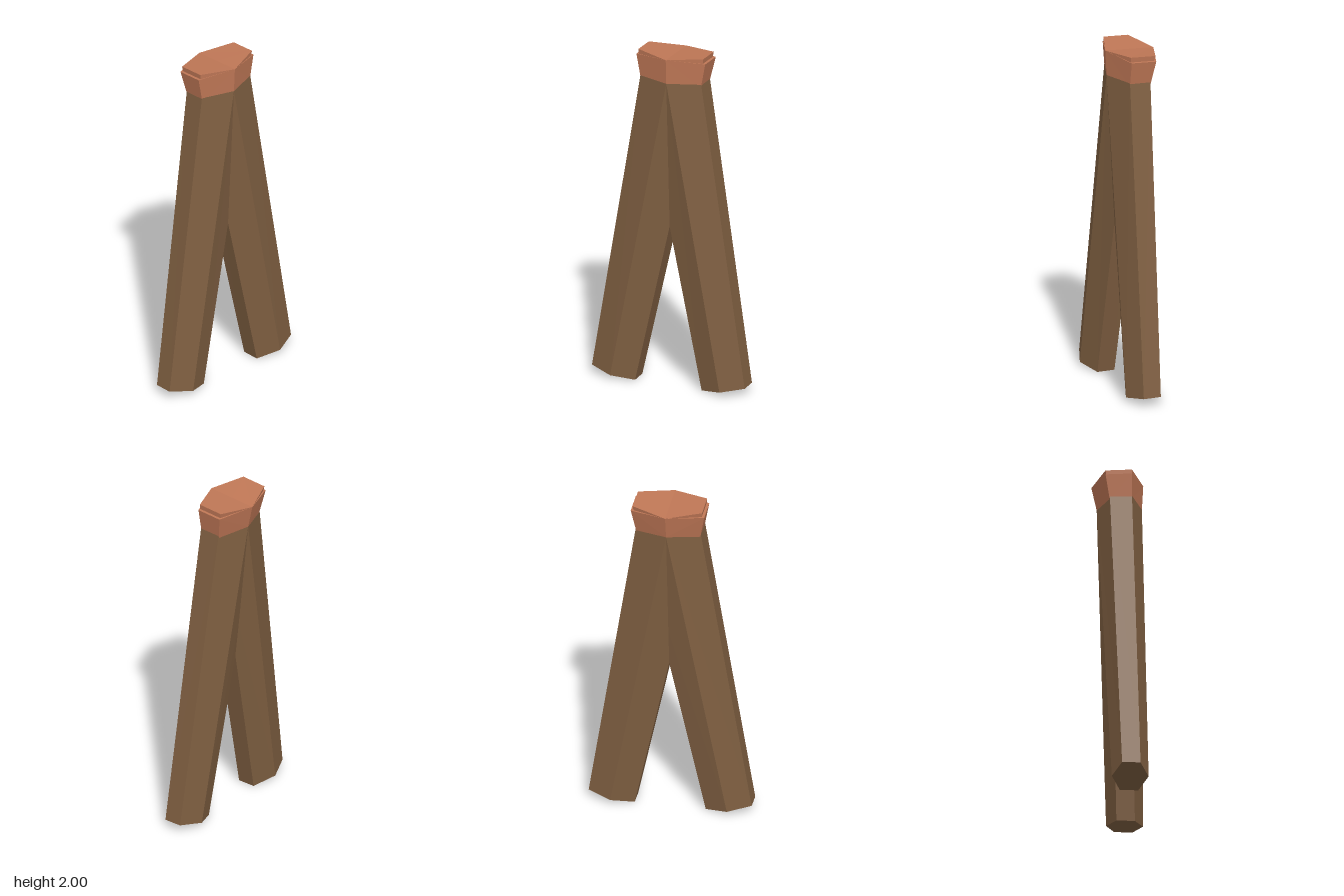
import * as THREE from 'three';

// Closed, flat-shaded loft between two six-sided rings; side = -1 mirrors it in x
function loft(lower, upper, side) {
  const pos = [];
  const tri = (a, b, c) => {
    const order = side > 0 ? [a, b, c] : [a, c, b];
    for (const [x, y, z] of order) pos.push(x * side, y, z);
  };
  const n = lower.length;
  for (let i = 0; i < n; i++) {
    const j = (i + 1) % n;
    tri(lower[j], lower[i], upper[i]);
    tri(lower[j], upper[i], upper[j]);
  }
  for (let i = 1; i < n - 1; i++) {
    tri(upper[0], upper[i + 1], upper[i]);
    tri(lower[0], lower[i], lower[i + 1]);
  }
  const geometry = new THREE.BufferGeometry();
  geometry.setAttribute('position', new THREE.Float32BufferAttribute(pos, 3));
  geometry.computeVertexNormals();
  return geometry;
}

// Ring order: outer front, ridge front, inner front, inner back, ridge back, outer back.
// outer, mid and inner are [x, y]; tilt raises the front over the back.
function ring(outer, mid, inner, flatFront, flatBack, ridgeFront, ridgeBack, tilt) {
  const point = ([x, y], z) => [x, y + tilt * z, z];
  return [
    point(outer, flatFront), point(mid, ridgeFront), point(inner, flatFront),
    point(inner, flatBack), point(mid, ridgeBack), point(outer, flatBack),
  ];
}

export function createModel() {
  const model = new THREE.Group();
  model.name = 'trousers';

  const cloth = new THREE.MeshStandardMaterial({ color: 0x7f5f41, flatShading: true });
  cloth.name = 'brown cloth';
  const leather = new THREE.MeshStandardMaterial({ color: 0xbf7756, flatShading: true });
  leather.name = 'copper leather';

  const hem = ring([0.468, 0.055], [0.335, 0.03], [0.204, 0.004], 0.1, -0.004, 0.152, -0.056, 0);
  const waist = ring([0.184, 1.855], [0, 1.838], [-0.184, 1.82], 0.065, -0.06, 0.13, -0.125, 0.04);
  const top = ring([0.199, 1.996], [0, 1.981], [-0.211, 1.966], 0.065, -0.085, 0.138, -0.155, 0.06);

  // The two tilted legs cross at the hips, each carrying its own half of the belt
  for (const [side, label] of [[1, 'left'], [-1, 'right']]) {
    const leg = new THREE.Mesh(loft(hem, waist, side), cloth);
    leg.name = label + 'Leg';
    const belt = new THREE.Mesh(loft(waist, top, side), leather);
    belt.name = label + 'Belt';
    model.add(leg, belt);
  }
  return model;
}
